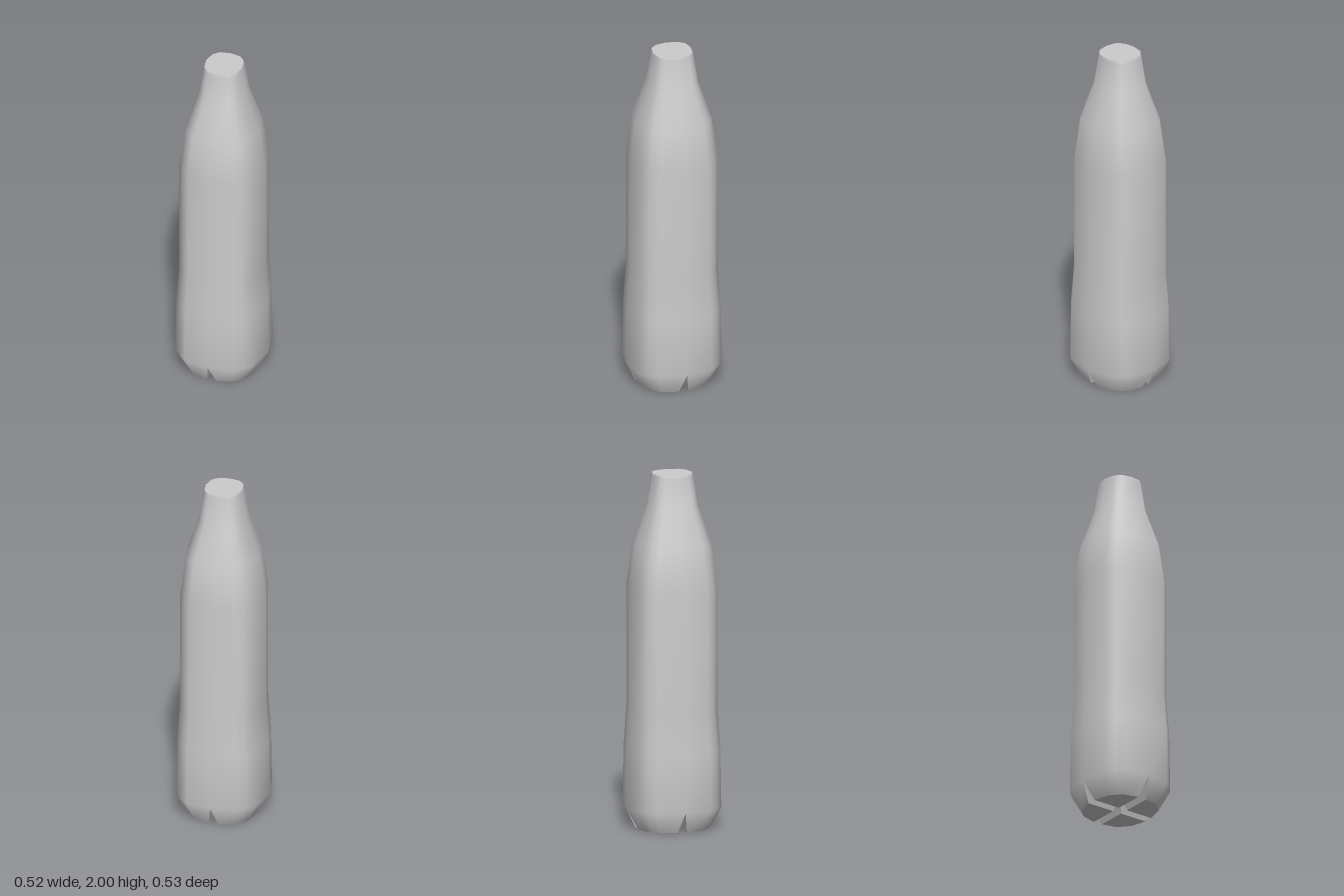
import * as THREE from 'three';

// Rounded-square cross-section with 16 points, running from +x towards +z
const quarter = [[1, 0], [0.88, 0.585], [0.715, 0.768], [0.553, 0.907]];
const half = [...quarter, [0, 1], ...quarter.slice(1).reverse().map(([x, z]) => [-x, z])];
const section = [...half, ...half.map(([x, z]) => [-x, -z])];
const N = section.length;

// Body rings: height, half width (x), half depth (z)
const profile = [
  [0.12, 0.262, 0.267], [0.45, 0.257, 0.262], [0.68, 0.241, 0.247], [1.36, 0.241, 0.247],
  [1.6, 0.207, 0.214], [1.82, 0.134, 0.14], [1.985, 0.111, 0.116], [2, 0.106, 0.111],
];
const footX = 0.197, footZ = 0.204; // half size of the base
const gap = 0.027;                  // half width of the grooves at the base

const ringPoints = ([y, rx, rz]) => section.map(([x, z]) => [x * rx, y, z * rz]);

function makeMesh(name, points, index, flat = false) {
  const geometry = new THREE.BufferGeometry();
  geometry.setAttribute('position', new THREE.Float32BufferAttribute(points.flat(), 3));
  geometry.setIndex(index);
  geometry.computeVertexNormals();
  const material = new THREE.MeshStandardMaterial({ color: 0xcccccc, flatShading: flat });
  const mesh = new THREE.Mesh(geometry, material);
  mesh.name = name;
  return mesh;
}

// Bottom outline of one foot, its ends pushed clear of the grooves
function footOutline(q) {
  const sx = q === 0 || q === 3 ? 1 : -1;
  const sz = q < 2 ? 1 : -1;
  const outline = [0, 1, 2, 3, 4].map((k) => {
    const [x, z] = section[(4 * q + k) % N];
    return [sx * Math.max(Math.abs(x) * footX, gap), 0, sz * Math.max(Math.abs(z) * footZ, gap)];
  });
  return { outline, inner: [sx * gap, 0, sz * gap] };
}

export function createModel() {
  const group = new THREE.Group();
  group.name = 'bottle';
  const rings = profile.map(ringPoints);
  const feet = [0, 1, 2, 3].map(footOutline);

  // Smooth outer wall, tapering into four feet
  const points = rings.flat();
  const index = [];
  for (let r = 0; r < rings.length - 1; r++) {
    for (let i = 0; i < N; i++) {
      const a = r * N + i, b = r * N + ((i + 1) % N);
      index.push(a, a + N, b, b, a + N, b + N);
    }
  }
  feet.forEach(({ outline }, q) => {
    const base = points.length;
    points.push(...outline);
    for (let k = 0; k < 4; k++) {
      const up = 4 * q + k, upNext = (up + 1) % N;
      index.push(base + k, up, base + k + 1, base + k + 1, up, upNext);
    }
  });
  group.add(makeMesh('bottleWall', points, index));

  // Flat top
  const top = [[0, 2, 0], ...rings[rings.length - 1]];
  const topIndex = [];
  for (let i = 0; i < N; i++) topIndex.push(0, ((i + 1) % N) + 1, i + 1);
  group.add(makeMesh('topCap', top, topIndex));

  // Foot soles and the sloping walls of the crossed grooves
  const centre = [0, profile[0][0], 0];
  feet.forEach(({ outline, inner }, q) => {
    group.add(makeMesh('footSole', [inner, ...outline], [0, 1, 2, 0, 2, 3, 0, 3, 4, 0, 4, 5], true));
    const start = [rings[0][4 * q], outline[0], inner, centre];
    const end = [centre, inner, outline[4], rings[0][(4 * q + 4) % N]];
    for (const wall of [start, end]) {
      group.add(makeMesh('grooveWall', wall, [0, 1, 2, 0, 2, 3], true));
    }
  });
  return group;
}
